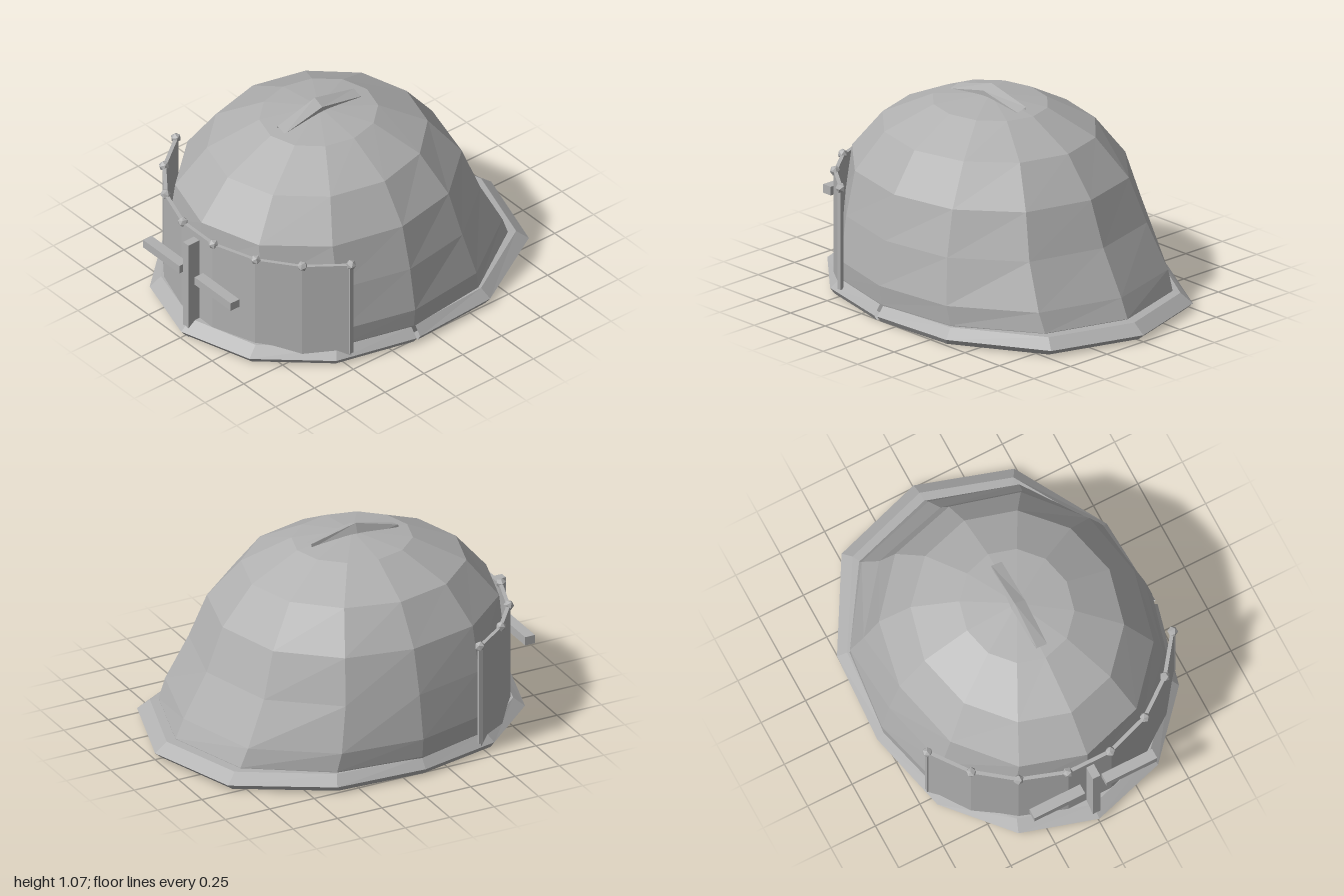
import * as THREE from 'three';

const CENTRE_Z = 0.11;

// Twelve-sided oval ring, starting at +x and turning towards the front.
// The back half can bulge outwards at its corners.
function oval(y, rx, front, back, bulge = 0, gap = 0) {
  const points = [];
  for (let k = 0; k <= 12; k++) {
    let a = (k * Math.PI) / 6;
    let r = 1;
    if (k > 6 && k < 12 && k !== 9) {
      a += Math.sign(k - 9) * bulge * 0.1;
      r += 0.06 * bulge;
    }
    const s = Math.sin(a);
    let z = CENTRE_Z + r * s * (s > 0 ? front - CENTRE_Z : CENTRE_Z - back);
    if (k === 0) z += gap;
    if (k === 12) z -= gap;
    points.push([r * rx * Math.cos(a), y, z]);
  }
  return points;
}

// Skins a list of equal-length rows with flat facets.
function loft(rows) {
  const position = [];
  for (let i = 0; i < rows.length - 1; i++) {
    for (let k = 0; k < rows[i].length - 1; k++) {
      const a = rows[i][k], b = rows[i][k + 1];
      const c = rows[i + 1][k], d = rows[i + 1][k + 1];
      position.push(...a, ...c, ...b, ...b, ...c, ...d);
    }
  }
  const geometry = new THREE.BufferGeometry();
  geometry.setAttribute('position', new THREE.Float32BufferAttribute(position, 3));
  geometry.computeVertexNormals();
  return geometry;
}

export function createModel() {
  const group = new THREE.Group();
  const steel = new THREE.MeshStandardMaterial({
    color: 0xb0b0b0, flatShading: true, side: THREE.DoubleSide,
  });
  steel.name = 'steel';

  function add(name, geometry, x = 0, y = 0, z = 0) {
    const mesh = new THREE.Mesh(geometry, steel);
    mesh.name = name;
    mesh.position.set(x, y, z);
    group.add(mesh);
    return mesh;
  }

  // Faceted bowl with a flared neck at the back
  add('dome', loft([
    oval(0.04, 0.735, 0.87, -0.88, 0.7),
    oval(0.1, 0.75, 0.885, -0.885, 0.7),
    oval(0.2, 0.76, 0.89, -0.84, 0.7),
    oval(0.43, 0.72, 0.88, -0.71, 0.5),
    oval(0.66, 0.66, 0.865, -0.62, 0.3),
    oval(0.86, 0.52, 0.695, -0.455),
    oval(0.99, 0.28, 0.42, -0.2),
    oval(1.03, 0, CENTRE_Z, CENTRE_Z),
  ]));

  // Bevelled rim, split by a small notch on the left side
  add('rim', loft([
    oval(0.03, 0.7, 0.84, -0.85, 0.8, 0.012),
    oval(0.015, 0.765, 0.97, -0.965, 1, 0.012),
    oval(0.045, 0.785, 0.995, -1, 1, 0.012),
    oval(0.095, 0.745, 0.93, -0.935, 0.9, 0.012),
    oval(0.1, 0.7, 0.85, -0.85, 0.8, 0.012),
    oval(0.03, 0.7, 0.84, -0.85, 0.8, 0.012),
  ]));

  // Wrapped face plate, mirrored from one half
  const half = [[0.69, 0.465], [0.545, 0.66], [0.355, 0.805], [0.12, 0.885]];
  const path = [...half, ...half.slice().reverse().map(([x, z]) => [-x, z])];
  const edge = (y, s) => path.map(([x, z]) => [x * s, y, CENTRE_Z + (z - CENTRE_Z) * s]);
  add('facePlate', loft([
    edge(0.05, 1.01), edge(0.605, 1.01), edge(0.605, 0.985), edge(0.05, 0.985), edge(0.05, 1.01),
  ]));
  for (const side of [1, -1]) {
    add('facePlateEnd', new THREE.BoxGeometry(0.02, 0.54, 0.022), side * 0.688, 0.335, 0.468);
  }

  // Rivets along the upper edge of the face plate
  const rivet = new THREE.IcosahedronGeometry(0.027, 0);
  path.forEach(([x, z], i) => {
    add('rivet', rivet, x, 0.605, z).rotation.set(i, i * 0.7, 0);
  });

  // Raised bars of the face guard
  add('noseBar', new THREE.BoxGeometry(0.042, 0.565, 0.07), 0, 0.2925, 0.93);
  for (const side of [1, -1]) {
    add('eyeBar', new THREE.BoxGeometry(0.285, 0.046, 0.055), side * 0.2025, 0.376, 0.93);
  }

  // Low crest, swelling in the middle
  const section = (z, left, top, rightTop) => [
    [0.04, 0.985, z], [0.04, rightTop, z], [-0.018, top, z], [left, 0.99, z],
  ];
  add('crest', loft([
    section(-0.13, -0.02, 1.015, 1.0),
    section(0.12, -0.05, 1.075, 1.05),
    section(0.36, -0.02, 1.01, 0.995),
  ]));

  return group;
}
